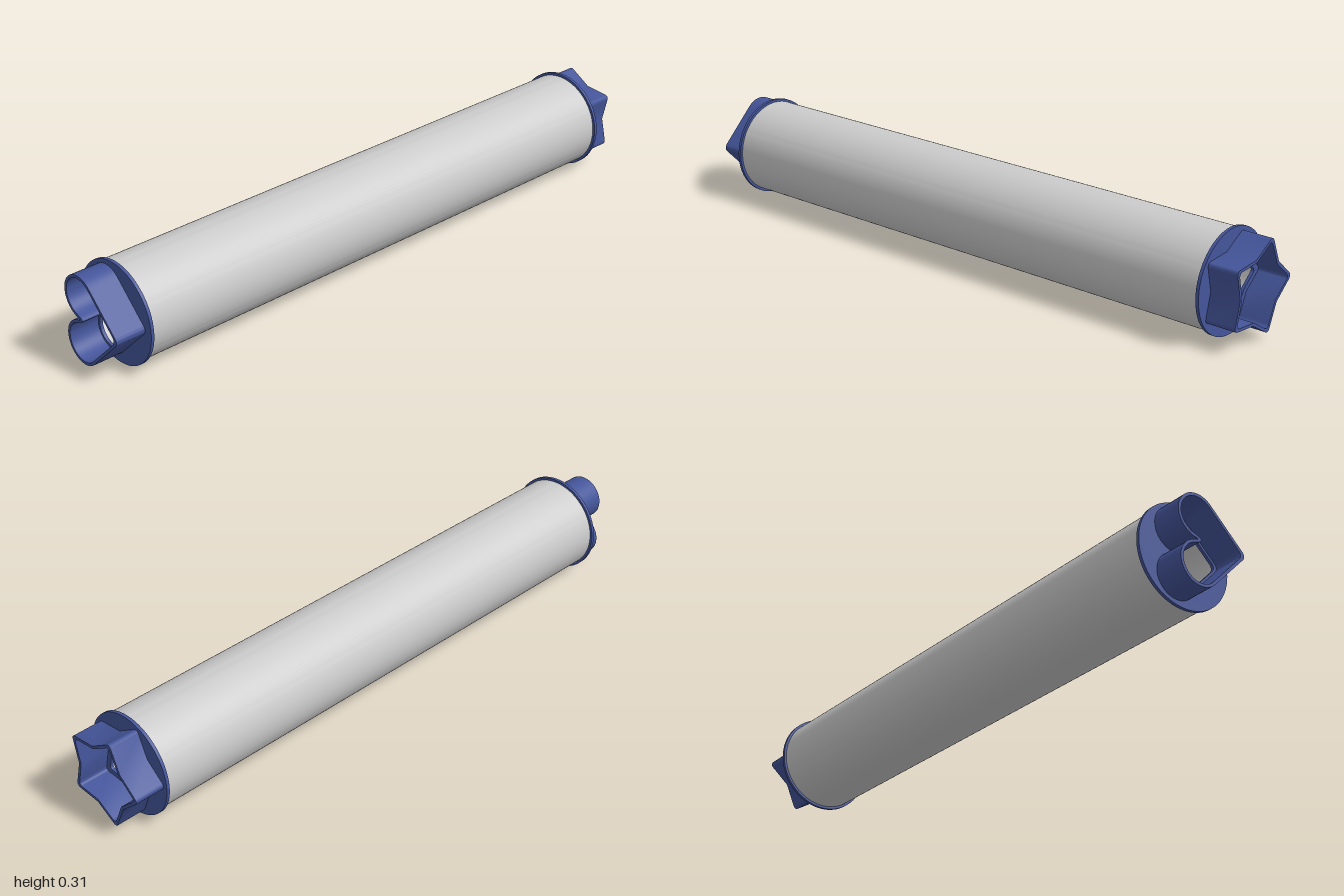
import * as THREE from 'three';
import { toCreasedNormals } from 'three/addons/utils/BufferGeometryUtils.js';

const AXIS_Y = 0.156, BODY_R = 0.148, FLANGE_R = 0.156;
const FLANGE_IN = 0.896, FLANGE_OUT = 0.906, END = 1.0;

// Five-pointed star with softened tips, its sides moved inwards by d
function starPoints(d) {
  const path = new THREE.Path();
  const tipR = 0.149 - 1.54 * d, valleyR = 0.1 - 1.03 * d;
  const at = (r, a) => new THREE.Vector2(r * Math.cos(a), r * Math.sin(a));
  for (let i = 0; i < 5; i++) {
    const a = (i * 2 * Math.PI) / 5;
    const tip = at(tipR, a);
    const before = at(valleyR, a - Math.PI / 5), after = at(valleyR, a + Math.PI / 5);
    const p = tip.clone().lerp(before, 0.18), q = tip.clone().lerp(after, 0.18);
    if (i === 0) path.moveTo(before.x, before.y);
    else path.lineTo(before.x, before.y);
    path.lineTo(p.x, p.y);
    path.quadraticCurveTo(tip.x, tip.y, q.x, q.y);
  }
  path.closePath();
  return path.getPoints(6);
}

// Heart with its lobes towards +x and its point towards -x, moved inwards by d
function heartPoints(d) {
  const r = 0.068 - d, cx = 0.03, cy = 0.07;
  const half = [];
  for (let i = 0; i <= 24; i++) {
    const a = THREE.MathUtils.degToRad(THREE.MathUtils.lerp(-75, 135, i / 24));
    half.push(new THREE.Vector2(cx + r * Math.cos(a), cy + r * Math.sin(a)));
  }
  const sharp = cx - cy - Math.SQRT2 * r;
  half.push(new THREE.Vector2(sharp + 0.014, 0.014));
  const mirror = half.map((p) => new THREE.Vector2(p.x, -p.y)).reverse();
  const round = (a, x, b) =>
    new THREE.QuadraticBezierCurve(a, new THREE.Vector2(x, 0), b).getPoints(8).slice(1, -1);
  const point = round(half[half.length - 1], sharp, mirror[0]);
  const notch = round(mirror[mirror.length - 1], 0.02 - 2.3 * d, half[0]);
  return [...half, ...point, ...mirror, ...notch];
}

// Plate with a hole, running along x from x0 to x1
function plate(name, outer, inner, x0, x1, material) {
  const shape = new THREE.Shape(outer);
  shape.holes.push(new THREE.Path(inner));
  let geo = new THREE.ExtrudeGeometry(shape, { depth: x1 - x0, bevelEnabled: false });
  geo.rotateY(Math.PI / 2).translate(x0, AXIS_Y, 0);
  geo = toCreasedNormals(geo, 0.5);
  const mesh = new THREE.Mesh(geo, material);
  mesh.name = name;
  return mesh;
}

export function createModel() {
  const group = new THREE.Group();
  group.name = 'doubleEndedCutter';
  const grey = new THREE.MeshStandardMaterial({ color: 0xcccccc });
  const blue = new THREE.MeshStandardMaterial({ color: 0x44559a });

  const circle = (r) => new THREE.Path().absarc(0, 0, r, 0, Math.PI * 2).getPoints(48).slice(0, -1);

  // Hollow tube between the two ends
  group.add(plate('tubeBody', circle(BODY_R), circle(BODY_R - 0.01), -FLANGE_IN, FLANGE_IN, grey));

  // Star end on the left: flange and cutting wall
  const starEnd = new THREE.Group();
  starEnd.name = 'starEnd';
  starEnd.add(
    plate('starFlange', circle(FLANGE_R), starPoints(0.024), FLANGE_IN, FLANGE_OUT, blue),
    plate('starCutter', starPoints(0), starPoints(0.009), FLANGE_OUT, END, blue)
  );

  // Heart end on the right
  const heartEnd = new THREE.Group();
  heartEnd.name = 'heartEnd';
  heartEnd.add(
    plate('heartFlange', circle(FLANGE_R), heartPoints(0.016), -FLANGE_OUT, -FLANGE_IN, blue),
    plate('heartCutter', heartPoints(0), heartPoints(0.009), -END, -FLANGE_OUT, blue)
  );

  group.add(starEnd, heartEnd);
  return group;
}
